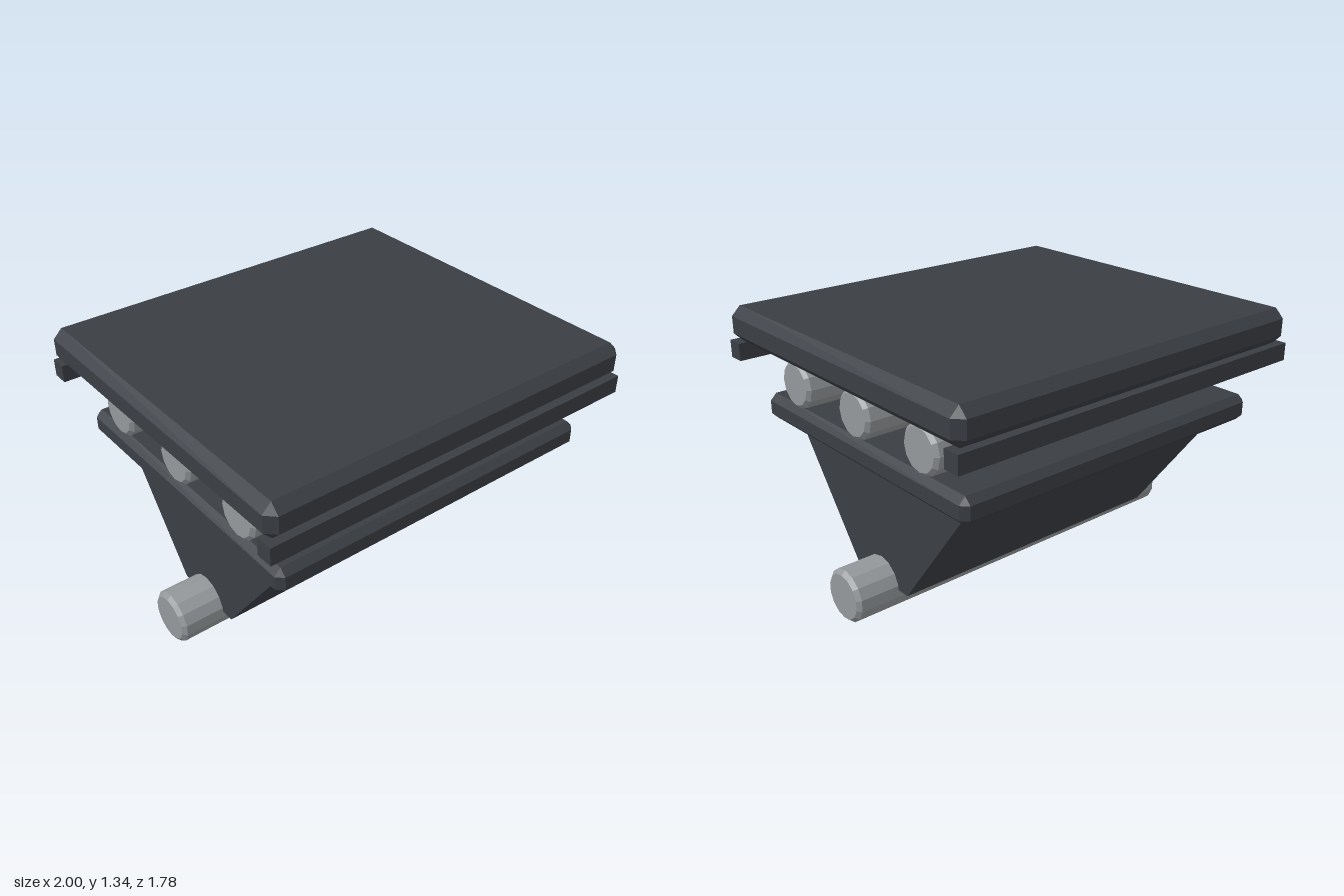
import * as THREE from 'three';
import { ConvexGeometry } from 'three/addons/geometries/ConvexGeometry.js';

const dark = new THREE.MeshStandardMaterial({ color: 0x3a3e44, flatShading: true });
const steel = new THREE.MeshStandardMaterial({ color: 0x94989b, flatShading: true });

function addPart(parent, name, geometry, material, x = 0, y = 0, z = 0) {
  const mesh = new THREE.Mesh(geometry, material);
  mesh.name = name;
  mesh.position.set(x, y, z);
  parent.add(mesh);
  return mesh;
}

// Box with every edge chamfered by c: three corner points per corner
function chamferBox(w, h, d, c) {
  const points = [];
  for (const sx of [-1, 1]) for (const sy of [-1, 1]) for (const sz of [-1, 1]) {
    for (let axis = 0; axis < 3; axis++) {
      const [x, y, z] = [w / 2, h / 2, d / 2].map((s, i) => (i === axis ? s : s - c));
      points.push(new THREE.Vector3(sx * x, sy * y, sz * z));
    }
  }
  return new ConvexGeometry(points);
}

// Bar along x with chamfered ends
function roundBar(radius, halfLength, c, sides) {
  const profile = [
    [0, -halfLength], [radius - c, -halfLength], [radius, -halfLength + c],
    [radius, halfLength - c], [radius - c, halfLength], [0, halfLength],
  ].map(([r, y]) => new THREE.Vector2(r, y));
  return new THREE.LatheGeometry(profile, sides, Math.PI / 2).rotateZ(Math.PI / 2);
}

export function createModel() {
  const model = new THREE.Group();
  model.name = 'rollerPlatform';

  // Top slab with a lip under its front and back edges
  addPart(model, 'topSlab', chamferBox(2, 0.175, 1.78, 0.045), dark, 0, 1.2475, 0);
  for (const side of [1, -1]) {
    addPart(model, side > 0 ? 'frontLip' : 'backLip',
      new THREE.BoxGeometry(2, 0.087, 0.085), dark, 0, 1.1175, side * 0.8475);
  }

  // Rollers between slab and lower plate
  const rollers = new THREE.Group();
  rollers.name = 'rollers';
  model.add(rollers);
  for (const z of [-0.49, 0, 0.49]) {
    addPart(rollers, 'roller', roundBar(0.12, 0.89, 0.018, 12), steel, 0, 1.014, z);
  }

  // Lower plate
  addPart(model, 'lowerPlate', chamferBox(1.78, 0.133, 1.56, 0.033), dark, 0, 0.826, 0);

  // Tapered body, a trapezoid swept along x
  const section = new THREE.Shape([
    [-0.2, 0.14], [0.2, 0.14], [0.67, 0.765], [-0.67, 0.765],
  ].map(([z, y]) => new THREE.Vector2(z, y)));
  const body = new THREE.ExtrudeGeometry(section, { depth: 1.556, bevelEnabled: false });
  body.translate(0, 0, -0.778).rotateY(Math.PI / 2);
  addPart(model, 'taperedBody', body, dark);

  // Axle through the foot of the body
  addPart(model, 'axle', roundBar(0.133, 1, 0.02, 14), steel, 0, 0.133, 0);

  return model;
}
